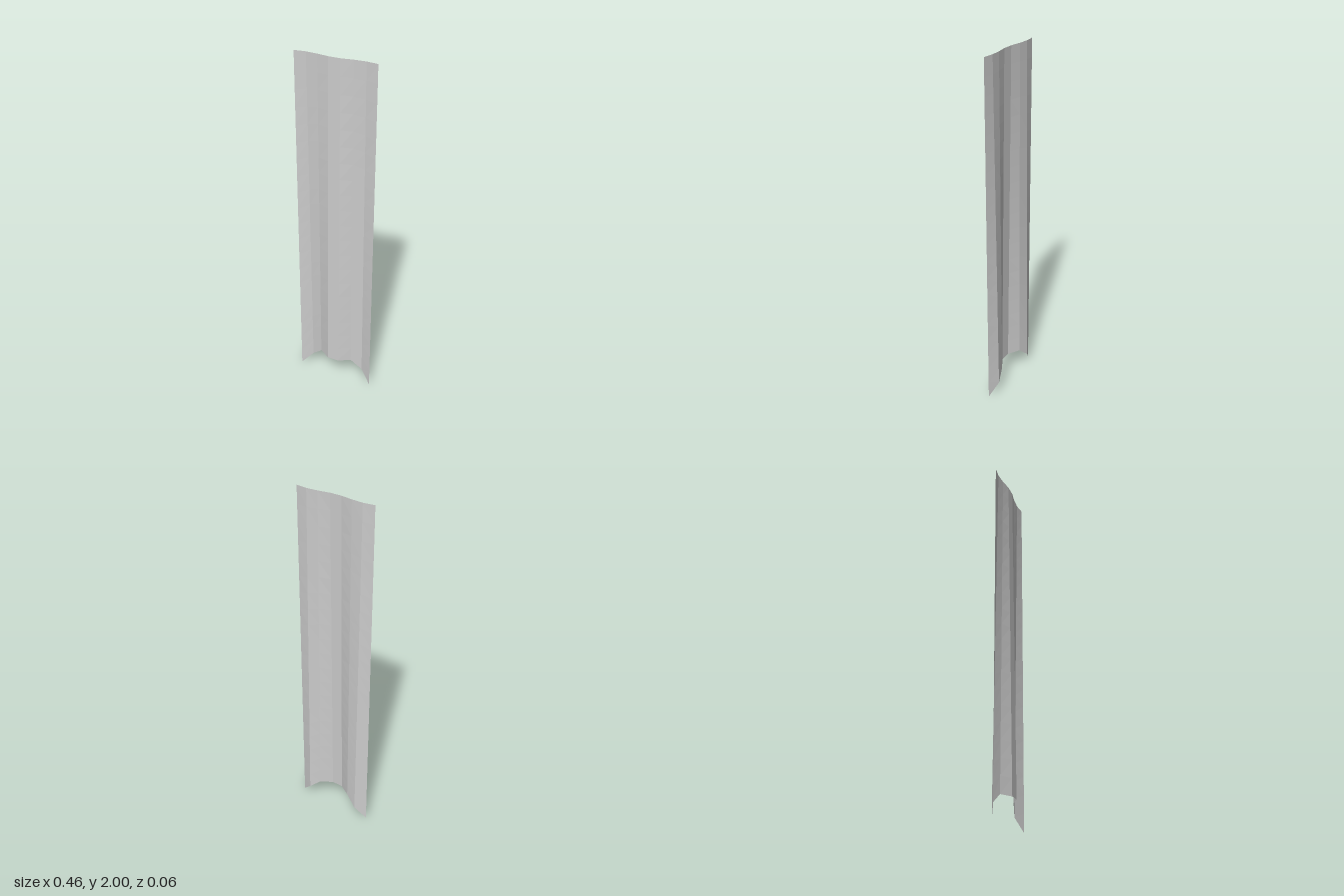
import * as THREE from 'three';

// Half profile of the folds from the centre outwards: x, fold depth z, height of the lower hem
const FOLDS = [
  { x: 0.033, z: 0.029, hem: 0.13 },
  { x: 0.1, z: -0.013, hem: 0.13 },
  { x: 0.165, z: -0.031, hem: 0.07 },
  { x: 0.23, z: 0, hem: 0 },
];
const TOP = 2;
const ROWS = 20;

export function createModel() {
  const group = new THREE.Group();
  group.name = 'banner';

  // Mirror the half profile into the full row of columns
  const mirrored = FOLDS.map((f) => ({ ...f, x: -f.x })).reverse();
  const columns = [...mirrored, ...FOLDS];

  // Hanging cloth: folds deepen evenly from the top edge to the notched hem
  const geometry = new THREE.PlaneGeometry(1, 1, columns.length - 1, ROWS);
  const position = geometry.attributes.position;
  for (let i = 0; i < position.count; i++) {
    const { x, z, hem } = columns[i % columns.length];
    const row = Math.floor(i / columns.length) / ROWS;
    const y = THREE.MathUtils.lerp(TOP, hem, row);
    const depth = THREE.MathUtils.lerp(1, 0.25, y / TOP);
    position.setXYZ(i, x, y, z * depth);
  }
  geometry.computeVertexNormals();

  const material = new THREE.MeshStandardMaterial({
    color: 0xcccccc,
    flatShading: true,
    side: THREE.DoubleSide,
  });
  const cloth = new THREE.Mesh(geometry, material);
  cloth.name = 'cloth';
  group.add(cloth);
  return group;
}
